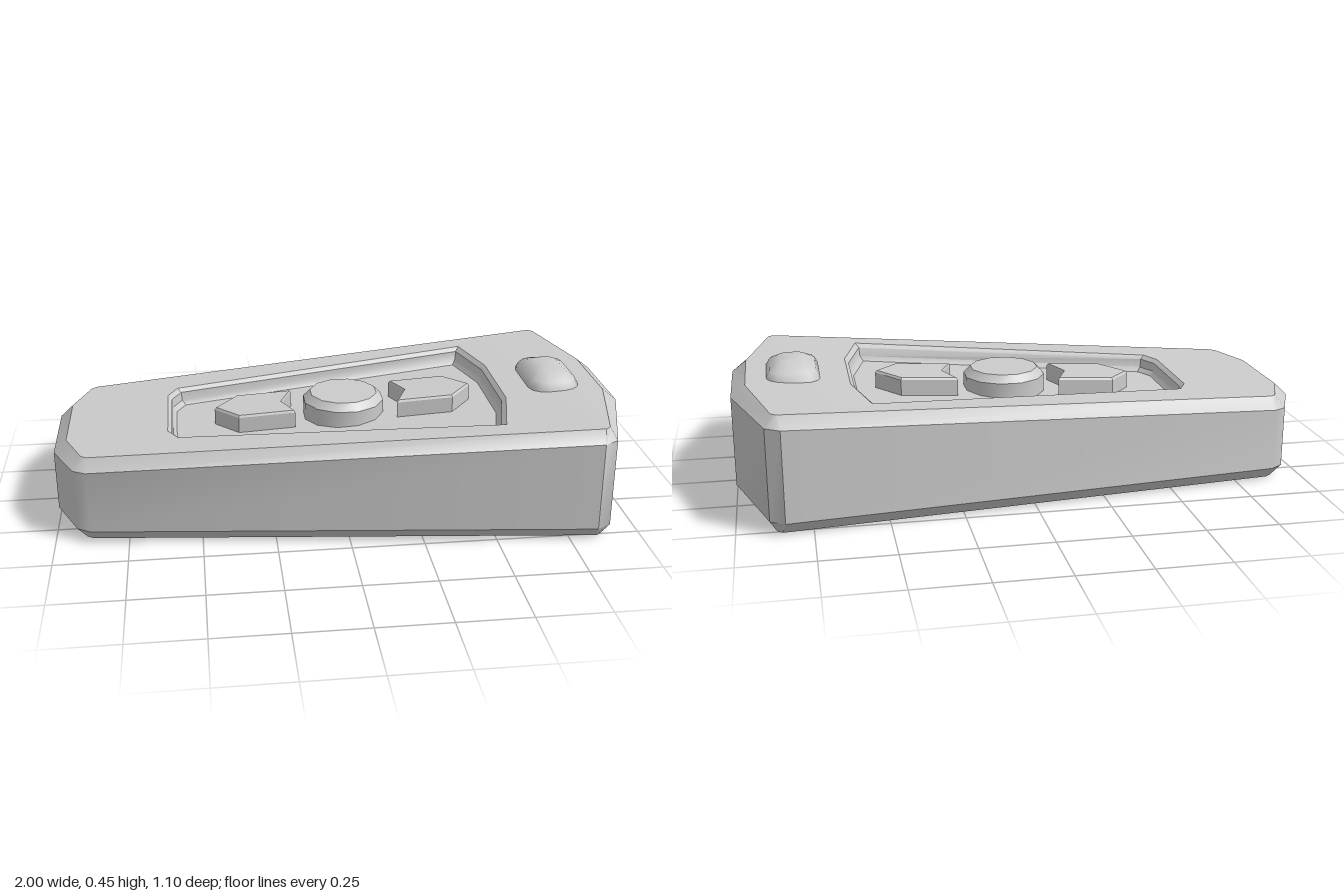
import * as THREE from 'three';
import { mergeGeometries, toCreasedNormals } from 'three/addons/utils/BufferGeometryUtils.js';

const CREASE = 0.85; // the top slopes up to this x, then runs level
const topY = x => 0.3 + 0.1 * (Math.min(x, CREASE) + 0.95) / (CREASE + 0.95);

// Complete a half outline (+z side, running +x to -x) by mirroring it in z.
const mirrorZ = half => [...half, ...half.filter(p => p[1] > 0).map(([x, z]) => [x, -z]).reverse()];

// Lift an [x, z] outline to a ring; y is a number or a function of x.
const ring = (pts, y) => pts.map(([x, z]) => [x, typeof y === 'function' ? y(x) : y, z]);

// Scale an outline about a centre.
const scaled = (pts, sx, sz, cx = 0) => pts.map(([x, z]) => [cx + (x - cx) * sx, z * sz]);

// Skin between rings; optionally close the first (facing down) and last (facing up).
function loft(rings, capFirst, capLast) {
  const n = rings[0].length, pos = rings.flat(2), idx = [];
  for (let r = 0; r < rings.length - 1; r++) {
    for (let i = 0; i < n; i++) {
      const j = (i + 1) % n, a = r * n, b = a + n;
      idx.push(a + i, b + i, a + j, b + i, b + j, a + j);
    }
  }
  const cap = (r, up) => {
    const c = pos.length / 3;
    for (let k = 0; k < 3; k++) pos.push(rings[r].reduce((s, p) => s + p[k], 0) / n);
    for (let i = 0; i < n; i++) {
      const p = r * n + i, q = r * n + (i + 1) % n;
      idx.push(c, ...(up ? [q, p] : [p, q]));
    }
  };
  if (capFirst) cap(0, false);
  if (capLast) cap(rings.length - 1, true);
  const g = new THREE.BufferGeometry();
  g.setAttribute('position', new THREE.Float32BufferAttribute(pos, 3));
  g.setIndex(idx);
  return g.toNonIndexed();
}

// Flat panel laid on the sloping top, with an optional hole.
function topPanel(pts, hole) {
  const vec = p => p.map(([x, z]) => new THREE.Vector2(x, -z));
  const shape = new THREE.Shape(vec(pts));
  if (hole) shape.holes.push(new THREE.Path(vec(hole)));
  const g = new THREE.ShapeGeometry(shape).rotateX(-Math.PI / 2).toNonIndexed();
  g.deleteAttribute('uv');
  g.deleteAttribute('normal');
  const p = g.attributes.position;
  for (let i = 0; i < p.count; i++) p.setY(i, topY(p.getX(i)));
  return g;
}

export function createModel() {
  const group = new THREE.Group();
  group.name = 'remoteControl';
  const material = new THREE.MeshStandardMaterial({ color: 0xcccccc });
  const add = (name, geometry, crease = 0.6) => {
    const mesh = new THREE.Mesh(toCreasedNormals(geometry, crease), material);
    mesh.name = name;
    group.add(mesh);
  };

  // Tapered case with chamfered rims and a sunken key panel
  const outer = mirrorZ([[1, 0.165], [0.89, 0.52], [0.84, 0.55], [-0.88, 0.365], [-0.925, 0.335], [-1, 0.165]]);
  const innerHalf = [[0.95, 0.16], [0.868, 0.495], [CREASE, 0.51], [-0.875, 0.325], [-0.895, 0.31], [-0.955, 0.16]];
  const inner = mirrorZ(innerHalf);
  const pocket = mirrorZ([[0.595, 0.165], [0.54, 0.395], [-0.57, 0.23], [-0.605, 0.165]]);
  const depth = 0.062;
  const pocketRing = (inset, d) =>
    ring(scaled(pocket, 1 - inset / 0.6, 1 - inset / 0.33), x => topY(x) - d);
  add('case', mergeGeometries([
    loft([ring(inner, 0), ring(outer, 0.045), ring(outer, x => topY(x) - 0.04), ring(inner, topY)], true, false),
    topPanel(mirrorZ(innerHalf.slice(2)), pocket),
    topPanel(mirrorZ(innerHalf.slice(0, 3))),
    loft([pocketRing(0, 0), pocketRing(0.014, 0.014), pocketRing(0.017, 0.045), pocketRing(0.03, depth)], false, true),
  ]));

  // Round centre button
  const mid = 0.03;
  const circle = r => Array.from({ length: 12 }, (_, i) => {
    const a = (i + 0.5) / 12 * Math.PI * 2;
    return [mid + r * Math.cos(a), r * Math.sin(a)];
  });
  add('centreButton', loft([ring(circle(0.147), 0.27), ring(circle(0.147), 0.348), ring(circle(0.122), 0.374)], true, true));

  // Pair of arrow buttons, one each side of the centre
  const rightArrow = [[0.497, 0], [0.415, 0.1], [0.213, 0.1], [0.255, 0], [0.213, -0.1], [0.415, -0.1]];
  const leftArrow = rightArrow.map(([x, z]) => [2 * mid - x, z]).reverse();
  for (const [name, pts] of [['leftArrowButton', rightArrow], ['rightArrowButton', leftArrow]]) {
    const cx = pts.reduce((s, p) => s + p[0], 0) / pts.length;
    add(name, loft([
      ring(pts, x => topY(x) - depth - 0.02),
      ring(pts, x => topY(x) - 0.006),
      ring(scaled(pts, 0.96, 0.95, cx), x => topY(x) + 0.002),
    ], true, true), 0.3);
  }

  // Rounded indicator lens near the wide end
  const lens = (hx, hz) => {
    const pts = [];
    for (let i = 0; i < 16; i++) {
      const a = (Math.floor(i / 4) + (i % 4) / 3) * Math.PI / 2;
      const sx = Math.cos((Math.floor(i / 4) + 0.5) * Math.PI / 2) > 0 ? 1 : -1;
      const sz = Math.floor(i / 4) < 2 ? 1 : -1;
      const r = hx * 0.7;
      pts.push([0.787 + sx * (hx - r) + r * Math.cos(a), sz * (hz - r) + r * Math.sin(a)]);
    }
    return pts;
  };
  add('indicatorLens', loft([
    ring(lens(0.094, 0.157), 0.37), ring(lens(0.092, 0.152), 0.4),
    ring(lens(0.08, 0.134), 0.423), ring(lens(0.045, 0.07), 0.447),
  ], true, true), 0.9);

  return group;
}
